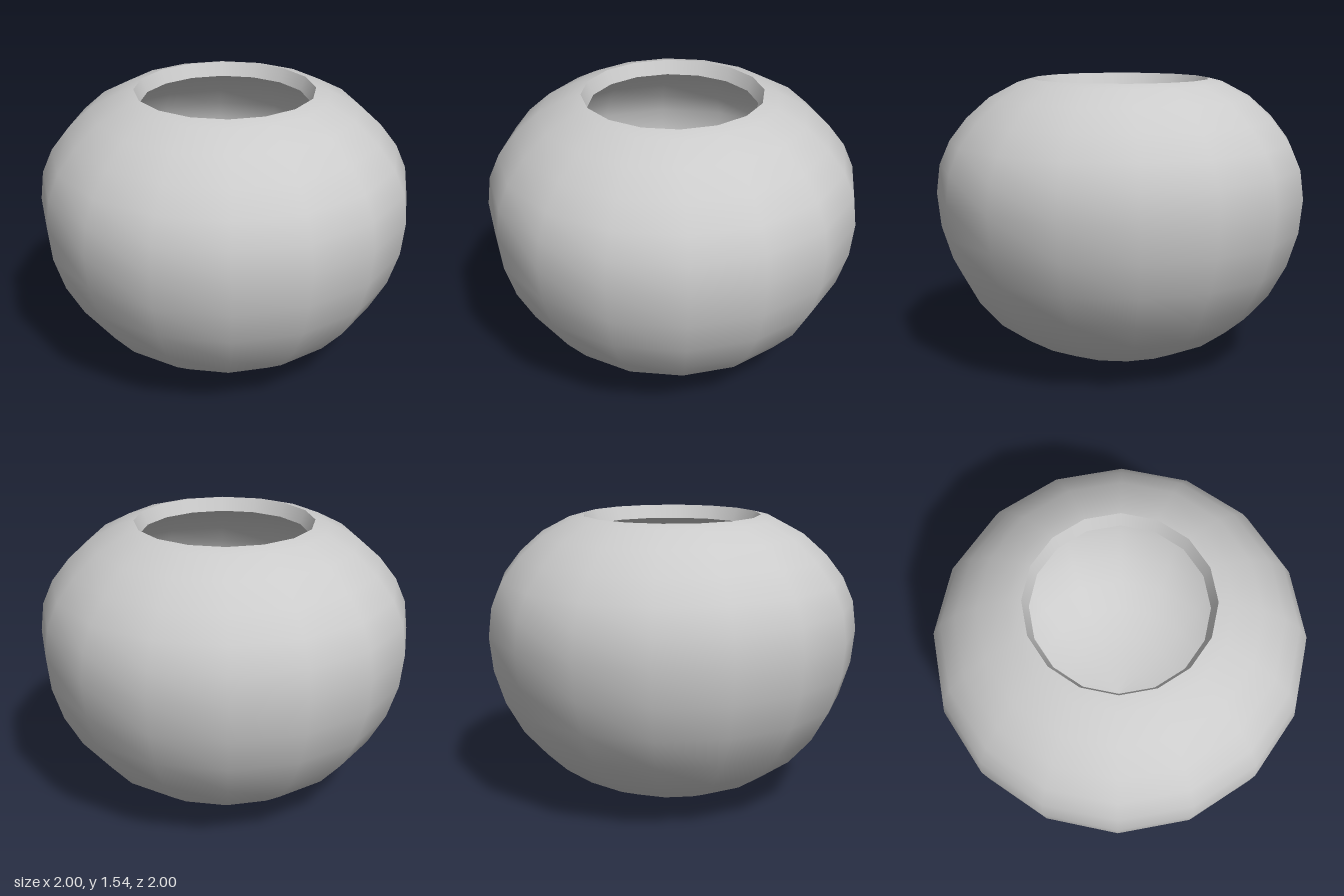
import * as THREE from 'three';

const SIDES = 16;
const WALL = 0.08;

// Outer profile from the bottom pole up to the rim: [radius, height]
const OUTER = [
  [0, 0], [0.195, 0.02], [0.383, 0.067], [0.556, 0.142], [0.707, 0.249],
  [0.831, 0.39], [0.924, 0.56], [0.981, 0.742], [1, 0.925], [0.981, 1.08],
  [0.924, 1.21], [0.831, 1.33], [0.707, 1.44], [0.556, 1.52], [0.478, 1.54],
].map(([r, y]) => new THREE.Vector2(r, y));

// Move each profile point inward along its normal by the wall thickness
function insetProfile(points) {
  return points.map((p, i) => {
    if (i === 0) return new THREE.Vector2(0, p.y + WALL);
    const before = points[i - 1];
    const after = points[Math.min(i + 1, points.length - 1)];
    const t = after.clone().sub(before).normalize();
    return new THREE.Vector2(p.x - t.y * WALL, p.y + t.x * WALL);
  });
}

export function createModel() {
  const model = new THREE.Group();
  model.name = 'roundBowl';
  const material = new THREE.MeshStandardMaterial({ color: 0xcccccc });

  const addLathe = (name, points) => {
    const mesh = new THREE.Mesh(new THREE.LatheGeometry(points, SIDES), material);
    mesh.name = name;
    model.add(mesh);
  };

  const inner = insetProfile(OUTER);
  inner[inner.length - 1].set(0.447, 1.467);

  // Separate surfaces keep the two rim edges sharp
  addLathe('outerWall', OUTER);
  addLathe('rim', [OUTER[OUTER.length - 1], inner[inner.length - 1]]);
  addLathe('innerWall', [...inner].reverse());

  return model;
}
